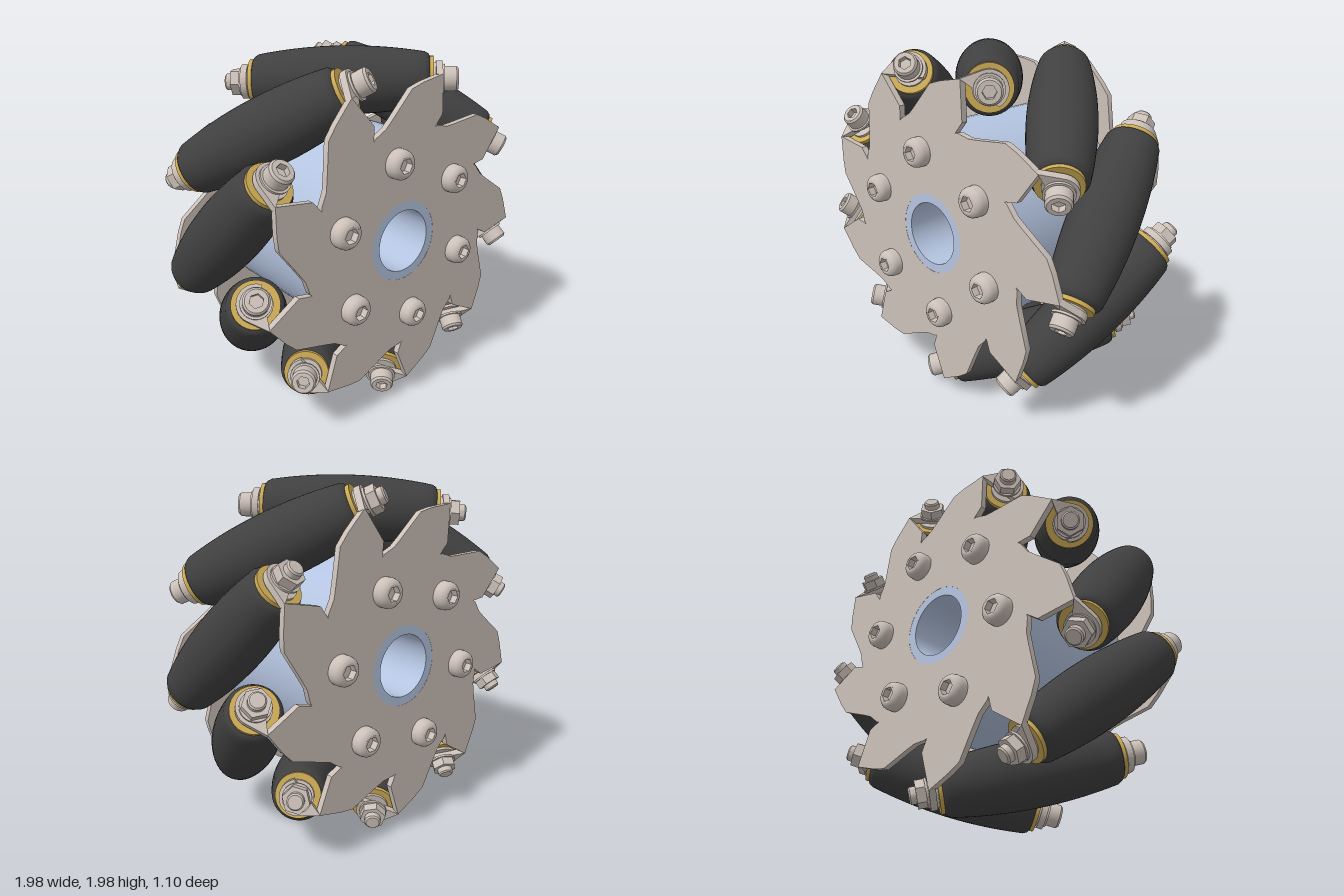
import * as THREE from 'three';
import { toCreasedNormals } from 'three/addons/utils/BufferGeometryUtils.js';

const mat = (name, color) => {
  const m = new THREE.MeshStandardMaterial({ color });
  m.name = name;
  return m;
};

const COUNT = 9;                 // rollers around the wheel
const STEP = (Math.PI * 2) / COUNT;
const AXIS_RADIUS = 0.8;         // distance of roller axes from the wheel axis
const V = (x, y) => new THREE.Vector2(x, y);

export function createModel() {
  const metal = mat('warm grey metal', 0xcbc0b8);
  const rubber = mat('black rubber', 0x404040);
  const blue = mat('pale blue hub', 0xb4c4e0);
  const brass = mat('brass', 0xccaa55);

  const add = (parent, name, geometry, material, z = 0) => {
    const m = new THREE.Mesh(geometry, material);
    m.name = name;
    m.position.z = z;
    parent.add(m);
    return m;
  };
  const group = (parent, name) => {
    const g = new THREE.Group();
    g.name = name;
    parent.add(g);
    return g;
  };
  const extrude = (shape, depth) => toCreasedNormals(
    new THREE.ExtrudeGeometry(shape, { depth, bevelEnabled: false, curveSegments: 20 }), 0.6);
  // turned part along z
  const turned = (points, seg = 32) => toCreasedNormals(
    new THREE.LatheGeometry(points.map(p => V(...p)), seg).rotateX(Math.PI / 2), 0.6);
  const disc = (r, h, seg = 32) =>
    turned([[0, 0], [r, 0], [r, h], [0, h]], seg);
  const hexagon = r => Array.from({ length: 6 }, (_, i) =>
    V(r * Math.cos(i * Math.PI / 3), r * Math.sin(i * Math.PI / 3)));

  // screw head with a hexagonal socket; the profile runs from the rim to the core
  const screwHead = (parent, name, profile, core, hex, top, depth, z) => {
    const g = group(parent, name);
    g.position.z = z;
    add(g, 'headSide', turned([[0, 0], ...profile, [core, top]]), metal);
    const ring = new THREE.Shape();
    ring.absarc(0, 0, core, 0, Math.PI * 2);
    ring.holes.push(new THREE.Path(hexagon(hex)));
    add(g, 'socketWall', extrude(ring, depth), metal, top - depth);
    add(g, 'socketFloor', new THREE.CircleGeometry(core, 24), metal, top - depth);
    return g;
  };

  // side plate outline, one swept tooth repeated around the axis
  const tooth = [[-0.2, 0.598], [-0.188, 0.612], [-0.12, 0.645], [-0.07, 0.69],
    [0.06, 0.815], [0.14, 0.835], [0.285, 0.855], [0.285, 0.645]];
  const outline = [];
  for (let k = 0; k < COUNT; k++)
    for (const [x, y] of tooth) outline.push(V(x, y).rotateAround(V(0, 0), -k * STEP));
  const plateShape = new THREE.Shape(outline);
  plateShape.holes.push(new THREE.Path().absarc(0, 0, 0.225, 0, Math.PI * 2));
  const plateGeo = extrude(plateShape, 0.035);

  // bent ear that carries the roller bolt
  const ear = new THREE.Shape();
  ear.moveTo(-0.142, -0.155);
  ear.absarc(0, 0, 0.095, -Math.PI * 0.35, Math.PI * 0.6);
  ear.lineTo(-0.142, 0.055);
  const earGeo = extrude(ear, 0.035);

  // barrel roller profile
  const rollerPts = [[0, -0.475], [0.115, -0.475], [0.133, -0.466]];
  for (let i = -8; i <= 8; i++) {
    const t = i / 8;
    rollerPts.push([0.183 - 0.038 * t * t, 0.445 * t]);
  }
  rollerPts.push([0.133, 0.466], [0.115, 0.475], [0, 0.475]);
  const rollerGeo = turned(rollerPts, 48);
  const brassGeo = disc(0.121, 0.986);
  const spacerGeo = disc(0.085, 0.02);
  const washerGeo = disc(0.078, 0.012);
  const nutGeo = extrude(new THREE.Shape(hexagon(0.074)), 0.05);
  const boltEndGeo = turned([[0, 0], [0.045, 0], [0.045, 0.03], [0.037, 0.038], [0, 0.038]]);

  const root = new THREE.Group();
  root.name = 'rollerWheel';
  const wheel = group(root, 'wheel');
  wheel.position.set(-0.005, 1.008, 0);
  wheel.rotation.z = THREE.MathUtils.degToRad(2.5);

  // hub with bore and end bosses
  add(wheel, 'hub', turned([[0.175, -0.479], [0.225, -0.479], [0.225, -0.445], [0.575, -0.445],
    [0.575, 0.445], [0.225, 0.445], [0.225, 0.479], [0.175, 0.479], [0.175, -0.479]], 64), blue);

  // tilted rollers with brass bushings
  for (let k = 0; k < COUNT; k++) {
    const spoke = group(wheel, 'rollerStation');
    spoke.rotation.z = -k * STEP;
    const axle = group(spoke, 'rollerAxle');
    axle.position.y = AXIS_RADIUS;
    axle.rotation.y = Math.PI / 4;
    add(axle, 'roller', rollerGeo, rubber);
    add(axle, 'bushing', brassGeo, brass, -0.493);
  }

  // the two sides: the back is the front turned half a turn
  for (const front of [true, false]) {
    const side = group(wheel, front ? 'frontSide' : 'backSide');
    side.rotation.y = front ? 0 : Math.PI;
    add(side, 'sidePlate', plateGeo, metal, 0.445);

    for (let k = 0; k < COUNT; k++) {
      const spoke = group(side, 'earStation');
      spoke.rotation.z = -k * STEP;
      const mount = group(spoke, 'earMount');
      mount.position.y = AXIS_RADIUS;
      mount.rotation.y = Math.PI / 4;
      add(mount, 'ear', earGeo, metal, 0.505);
      add(mount, 'spacer', spacerGeo, metal, 0.488);
      add(mount, 'washer', washerGeo, metal, 0.54);
      if (front) {
        screwHead(mount, 'rollerBolt', [[0.066, 0], [0.066, 0.062], [0.058, 0.072]],
          0.056, 0.035, 0.074, 0.035, 0.551);
      } else {
        add(mount, 'rollerNut', nutGeo, metal, 0.551);
        add(mount, 'boltEnd', boltEndGeo, metal, 0.6);
      }
    }

    // ring of six button screws holding the plate to the hub
    for (let i = 0; i < 6; i++) {
      const deg = (front ? 36 : 172.5) + i * 60;
      const a = THREE.MathUtils.degToRad(deg);
      const screw = screwHead(side, 'hubScrew',
        [[0.08, 0], [0.08, 0.035], [0.076, 0.052], [0.066, 0.065], [0.055, 0.071]],
        0.05, 0.042, 0.073, 0.04, 0.479);
      screw.position.x = 0.455 * Math.cos(a);
      screw.position.y = 0.455 * Math.sin(a);
    }
  }
  return root;
}
